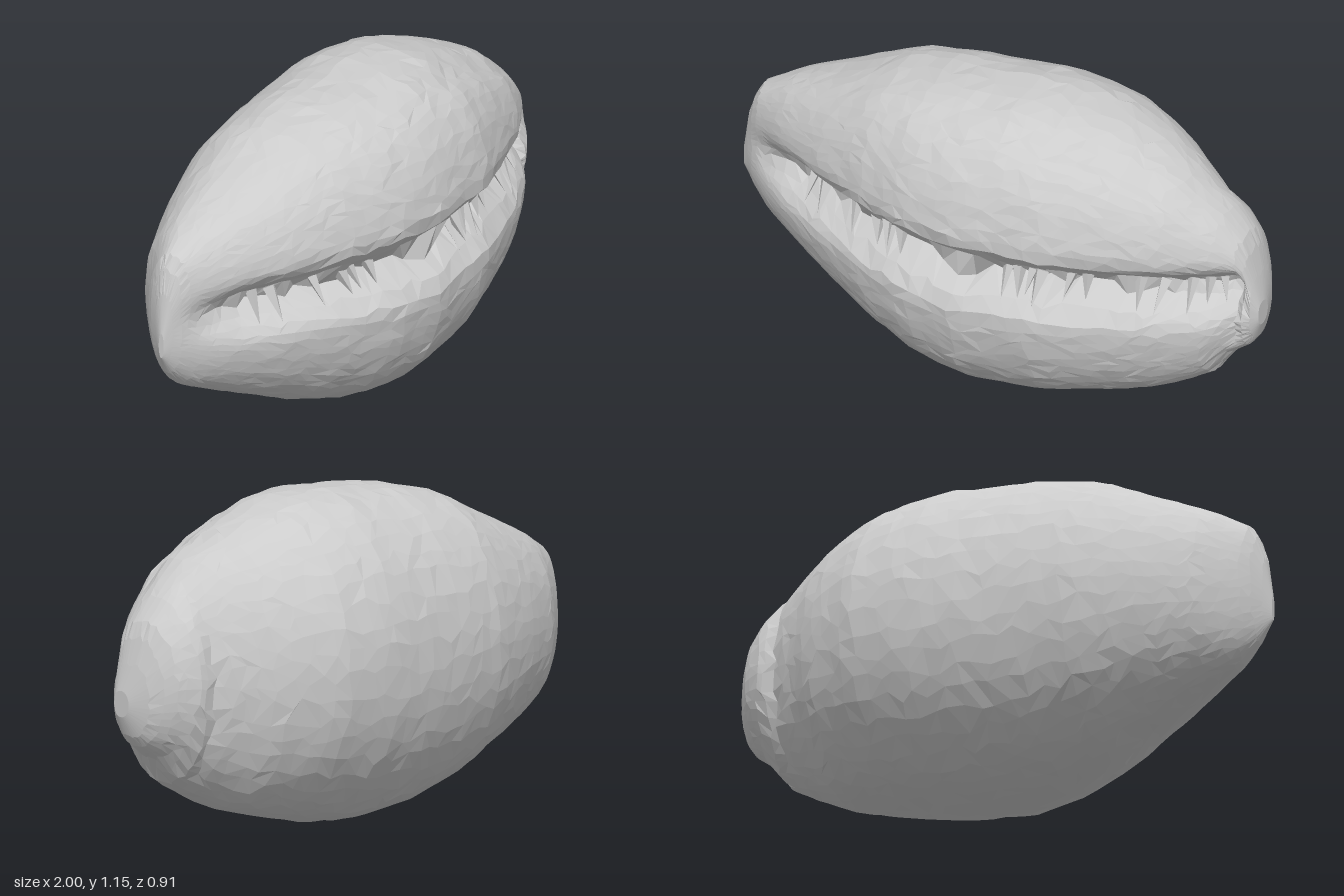
import * as THREE from 'three';

// Outline tables along the length: [x, value]
const TOP = [[-1, .56], [-.975, .72], [-.94, .82], [-.8, .9], [-.6, .99], [-.4, 1.085], [-.2, 1.13], [0, 1.143], [.13, 1.155], [.3, 1.14], [.5, 1.08], [.7, .985], [.85, .87], [.94, .77], [.97, .67], [1, .55]];
const BOTTOM = [[-1, .47], [-.95, .39], [-.88, .32], [-.7, .23], [-.5, .14], [-.4, .09], [-.2, .025], [0, 0], [.2, .01], [.4, .05], [.6, .1], [.75, .175], [.84, .225], [.88, .3], [.97, .37], [1, .46]];
const BACK = [[-1, -.005], [-.94, -.09], [-.8, -.21], [-.6, -.31], [-.4, -.385], [-.2, -.42], [0, -.445], [.2, -.46], [.4, -.44], [.6, -.345], [.7, -.26], [.78, -.215], [.86, -.195], [.92, -.155], [.97, -.09], [1, .01]];
const FRONT = [[-1, .015], [-.94, .07], [-.8, .165], [-.6, .275], [-.4, .365], [-.2, .435], [0, .462], [.3, .435], [.5, .365], [.7, .285], [.84, .205], [.9, .165], [.95, .135], [1, .08]];
const { smoothstep } = THREE.MathUtils;

function lookup(table, x) {
  for (let i = 1; i < table.length; i++) {
    const [x0, v0] = table[i - 1], [x1, v1] = table[i];
    if (x <= x1) return v0 + (v1 - v0) * Math.max(0, (x - x0) / (x1 - x0));
  }
  return table[table.length - 1][1];
}

// Rounded bump of height 1 and half-width w
const bump = (d, w) => Math.exp(-((d / w) ** 2));

// Slit along the front, between two rounded lips
function slit(x, y) {
  const depth = 0.13 * smoothstep(x, -1, -0.65) * (1 - smoothstep(x, 0.9, 0.98));
  return depth * bump(y - 0.6, y > 0.6 ? 0.07 : 0.075);
}

// Shallow furrow over the upper left shoulder
function furrow(x, a) {
  return 0.022 * bump(a - 1.1, 0.14) * smoothstep(x, 0.1, 0.35) * (1 - smoothstep(x, 0.7, 0.9));
}

// Crease separating the end knob from the lower lip
function crease(x, y) {
  return 0.03 * bump(x - 0.925, 0.025) * smoothstep(y, 0.36, 0.44) * (1 - smoothstep(y, 0.6, 0.7));
}

// Hollow behind the end knob
function hollow(x, c) {
  return 0.018 * bump(x - 0.79, 0.03) * Math.max(0, -c);
}

// Fullness of a section: squarer lobes at the front, round at the back
const fullness = (c, s) => (c <= 0 ? 1 : s > 0 ? 0.75 : 0.82);
const power = (v, e) => Math.sign(v) * Math.abs(v) ** e;

// Point on the shell at length x and angle a (0 = front, PI/2 = top)
function shellPoint(x, a) {
  const t = lookup(TOP, x), b = lookup(BOTTOM, x), f = lookup(FRONT, x), k = lookup(BACK, x);
  const c = Math.cos(a), s = Math.sin(a), e = fullness(c, s);
  const y = (t + b) / 2 + (t - b) / 2 * power(s, e) - furrow(x, a);
  let z = (f + k) / 2 + (f - k) / 2 * power(c, e) + hollow(x, c);
  if (c > 0) z -= (slit(x, y) + crease(x, y)) * Math.min(1, c * 3);
  return new THREE.Vector3(x, y, z);
}

// Front surface point at a given height
function frontPoint(x, y) {
  const t = lookup(TOP, x), b = lookup(BOTTOM, x);
  const v = THREE.MathUtils.clamp((y - (t + b) / 2) / ((t - b) / 2), -1, 1);
  return shellPoint(x, Math.asin(power(v, 1 / fullness(1, v))));
}

function seeded(seed) {
  return () => {
    seed = (seed * 16807) % 2147483647;
    return seed / 2147483647 - 0.5;
  };
}

function buildShell() {
  const rings = 46, sides = 58, rand = seeded(421);
  const pos = [], index = [];
  for (let i = 0; i <= rings; i++) {
    const u = i / rings * 2 - 1;
    const x0 = 0.5 * u + 0.5 * Math.sin(u * Math.PI / 2); // closer rings at the ends
    const inner = Math.min(1, (1 - Math.abs(x0)) * 6);
    for (let j = 0; j < sides; j++) {
      // shift points along the surface and a little in and out for the chipped facets
      const t = (j + rand() * 0.6 * inner) / sides * Math.PI * 2;
      const x = x0 + rand() * 0.028 * inner;
      const p = shellPoint(x, t - 0.35 * Math.sin(t));
      const n = 1 + rand() * 0.011 * inner;
      pos.push(p.x, Math.max(0, 0.575 + (p.y - 0.575) * n), p.z * n);
    }
  }
  for (let i = 0; i < rings; i++) for (let j = 0; j < sides; j++) {
    const a = i * sides + j, d = i * sides + (j + 1) % sides, b = a + sides, c = d + sides;
    if (rand() > 0) index.push(a, b, c, a, c, d);
    else index.push(a, b, d, b, c, d);
  }
  // close both tips
  [[0, -1], [rings, 1]].forEach(([ring, x]) => {
    const centre = pos.length / 3;
    pos.push(x, 0.51, x < 0 ? 0.005 : 0.045);
    for (let j = 0; j < sides; j++) {
      const a = ring * sides + j, b = ring * sides + (j + 1) % sides;
      if (x > 0) index.push(centre, b, a); else index.push(centre, a, b);
    }
  });
  const geo = new THREE.BufferGeometry();
  geo.setAttribute('position', new THREE.Float32BufferAttribute(pos, 3));
  geo.setIndex(index);
  geo.computeVertexNormals();
  return geo;
}

export function createModel() {
  const group = new THREE.Group();
  group.name = 'seaShell';
  const material = new THREE.MeshStandardMaterial({ color: 0xcccccc, flatShading: true });

  const shell = new THREE.Mesh(buildShell(), material);
  shell.name = 'shellBody';
  group.add(shell);

  // Jagged teeth hanging from the upper lip onto the lower lip
  const teeth = new THREE.Group();
  teeth.name = 'slitTeeth';
  const rand = seeded(77);
  const places = [-.66, -.6, -.45, -.35, -.31, -.24, .18, .22, .27, .3, .4, .45, .62, .7, .78, .83, .87];
  for (const x of places) {
    const root = frontPoint(x, 0.63);
    const tip = frontPoint(x + rand() * 0.04, 0.535 + rand() * 0.04);
    const dir = tip.clone().sub(root);
    const geo = new THREE.ConeGeometry(0.024 + rand() * 0.01, dir.length(), 4);
    const tooth = new THREE.Mesh(geo, material);
    tooth.name = 'tooth';
    tooth.position.copy(root).add(tip).multiplyScalar(0.5);
    tooth.quaternion.setFromUnitVectors(new THREE.Vector3(0, 1, 0), dir.normalize());
    teeth.add(tooth);
  }
  group.add(teeth);
  return group;
}
